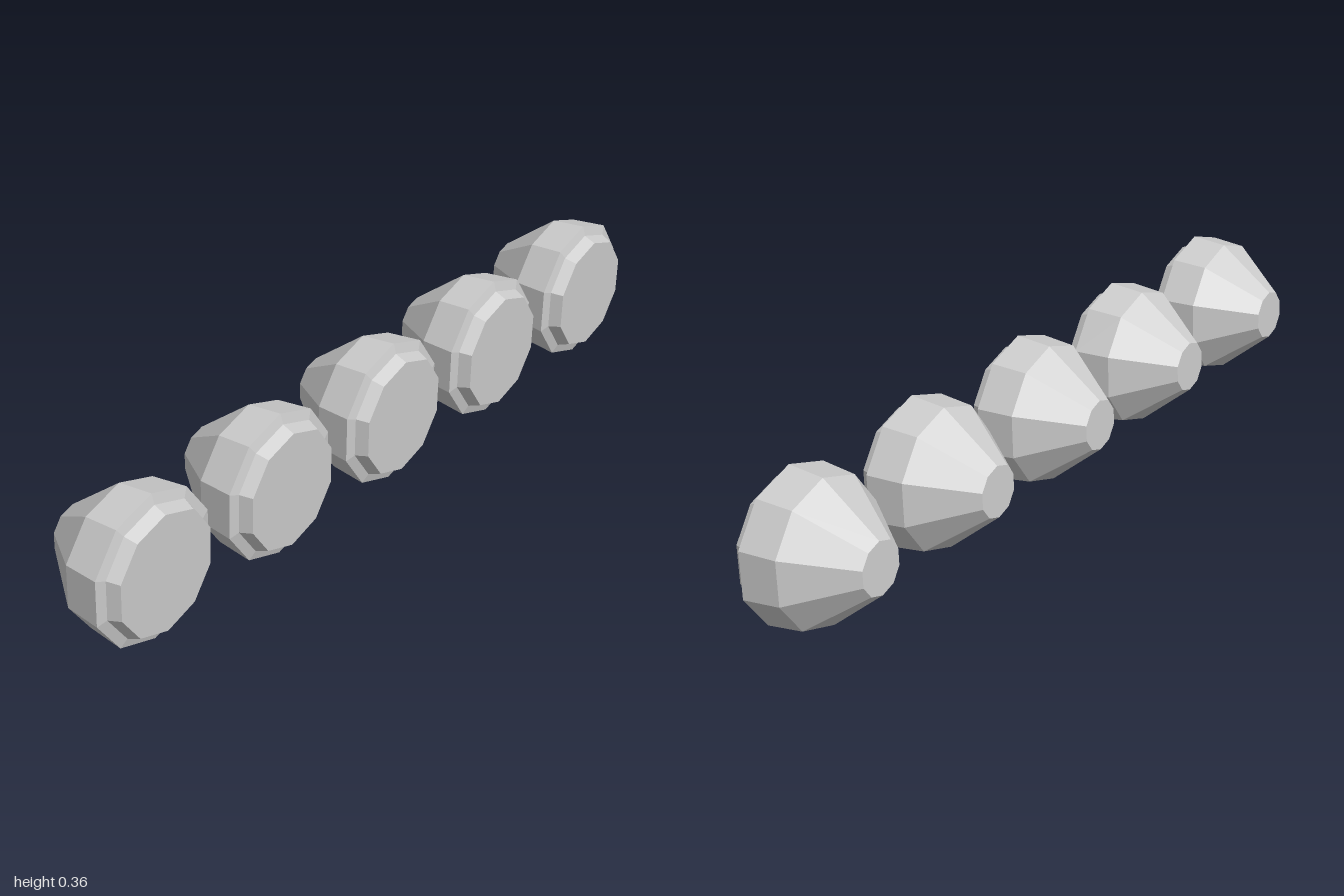
import * as THREE from 'three';

export function createModel() {
  const group = new THREE.Group();
  group.name = 'lampRow';
  const material = new THREE.MeshStandardMaterial({ color: 0xcccccc, flatShading: true });

  // Profile from rear cap to front lens: radius, distance along the lamp's axis
  const profile = [
    [0, -0.132], [0.062, -0.132],   // rear cap
    [0.1705, 0.005],                // cone
    [0.1805, 0.094],                // rim
    [0.156, 0.101],                 // step
    [0.144, 0.131], [0, 0.131],     // lens
  ].map(([r, z]) => new THREE.Vector2(r, z));

  // Ten-sided lamp facing +z, tipped slightly downwards
  const geometry = new THREE.LatheGeometry(profile, 10);
  geometry.rotateX(Math.PI / 2 + 0.034);

  // Five lamps evenly spaced in a row
  for (let i = -2; i <= 2; i++) {
    const lamp = new THREE.Mesh(geometry, material);
    lamp.name = `lamp${i + 3}`;
    lamp.position.set(i * 0.414, 0.1855, 0);
    group.add(lamp);
  }
  return group;
}
